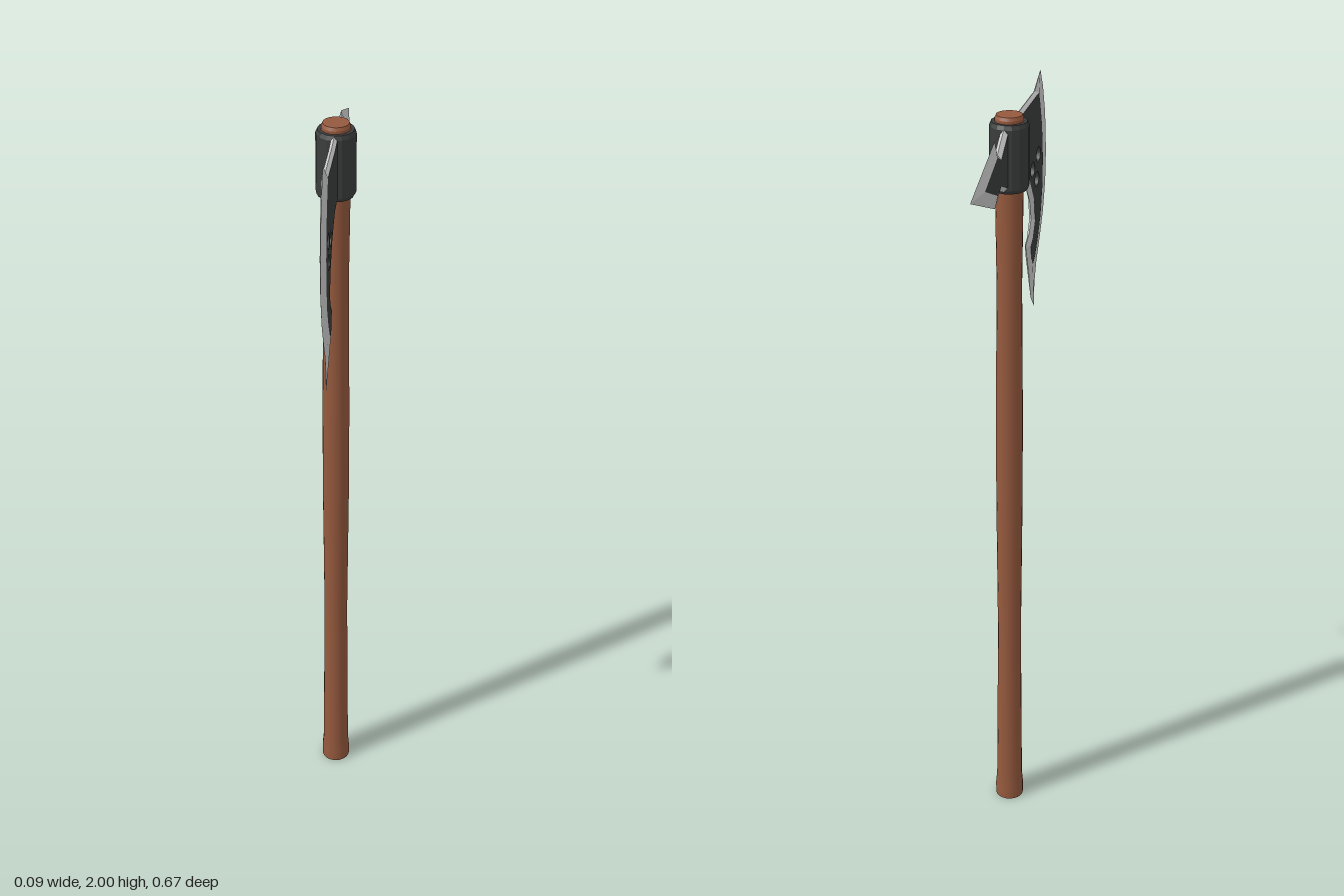
import * as THREE from 'three';

const wood = new THREE.MeshStandardMaterial({ color: 0x95593d });
wood.name = 'wood';
const iron = new THREE.MeshStandardMaterial({ color: 0x3b3c3c, side: THREE.DoubleSide });
iron.name = 'dark iron';
const steel = new THREE.MeshStandardMaterial({ color: 0xcfcfcf, side: THREE.DoubleSide });
steel.name = 'bright steel';

const AXIS_Z = -0.0125; // handle axis

function add(parent, name, geometry, material) {
  const mesh = new THREE.Mesh(geometry, material);
  mesh.name = name;
  parent.add(mesh);
  return mesh;
}

// Triangles mirrored on both sides of x = 0, each wound to face outward.
// Points are [x, y, z] with x >= 0.
function mirroredGeometry(triangles) {
  const pos = [];
  for (const side of [1, -1]) {
    for (const [a, b, c] of triangles) {
      const nx = (b[1] - a[1]) * (c[2] - a[2]) - (b[2] - a[2]) * (c[1] - a[1]);
      const order = nx * side > 0 ? [a, b, c] : [a, c, b];
      for (const p of order) pos.push(p[0] * side, p[1], p[2]);
    }
  }
  const g = new THREE.BufferGeometry();
  g.setAttribute('position', new THREE.Float32BufferAttribute(pos, 3));
  g.computeVertexNormals();
  return g;
}

// Forged head part: rows are [outer z, outer y, inner z, inner y].
// The inner outline is a flat iron plate, ground down to a sharp outer outline.
function forgedPart(name, rows, half, holes = []) {
  const group = new THREE.Group();
  group.name = name;
  const contour = rows.map((r) => new THREE.Vector2(r[2], r[3]));
  const holePaths = holes.map(([z, y, r]) =>
    new THREE.Path().absarc(z, y, r, 0, Math.PI * 2, true).getPoints(16).slice(0, -1));
  const flat = [contour, ...holePaths].flat();
  const plate = THREE.ShapeUtils.triangulateShape(contour, holePaths)
    .map((f) => f.map((i) => [half, flat[i].y, flat[i].x]));
  add(group, name + 'Plate', mirroredGeometry(plate), iron);

  const bevel = [];
  for (let i = 0; i < rows.length - 1; i++) {
    const [a, b] = [rows[i], rows[i + 1]];
    const oa = [0, a[1], a[0]], ob = [0, b[1], b[0]];
    const ia = [half, a[3], a[2]], ib = [half, b[3], b[2]];
    bevel.push([oa, ob, ib], [oa, ib, ia]);
  }
  add(group, name + 'Edge', mirroredGeometry(bevel), steel);

  // walls of the pierced holes
  for (const [z, y, r] of holes) {
    const wall = new THREE.CylinderGeometry(r, r, half * 2, 16, 1, true);
    wall.rotateZ(Math.PI / 2);
    add(group, 'holeWall', wall, iron).position.set(0, y, z);
  }
  return group;
}

function lathe(points, sides) {
  return new THREE.LatheGeometry(points.map(([r, y]) => new THREE.Vector2(r, y)), sides);
}

export function createModel() {
  const model = new THREE.Group();
  model.name = 'battleAxe';

  // Wooden shaft with a slightly swelling grip and a flared foot
  const shaft = [[0.038, 0], [0.038, 0.035], [0.035, 0.07], [0.033, 0.3], [0.031, 0.55],
    [0.034, 0.95], [0.034, 1.2], [0.031, 1.55], [0.034, 1.8], [0.0345, 1.965]];
  add(model, 'handle', lathe(shaft, 20), wood).position.z = AXIS_Z;
  const foot = new THREE.CircleGeometry(0.038, 20).rotateX(Math.PI / 2);
  add(model, 'handleFoot', foot, wood).position.z = AXIS_Z;
  const top = new THREE.CylinderGeometry(0.031, 0.0345, 0.008, 20);
  add(model, 'handleTop', top, wood).position.set(0, 1.969, AXIS_Z);

  // Iron collar with chamfered rims
  const socket = lathe([[0.034, 1.794], [0.043, 1.794], [0.0475, 1.803],
    [0.0475, 1.948], [0.043, 1.958], [0.034, 1.958]], 16).toNonIndexed();
  socket.computeVertexNormals();
  add(model, 'collar', socket, iron).position.z = AXIS_Z;

  // Bearded blade: top edge, cutting edge, lower point, hooked inner curve
  const blade = [
    [0, 1.957, 0, 1.95], [0.084, 1.954, 0.084, 1.946], [0.221, 1.962, 0.222, 1.954],
    [0.274, 2.0, 0.235, 1.953], [0.301, 1.952, 0.25, 1.915], [0.325, 1.878, 0.266, 1.862],
    [0.337, 1.777, 0.277, 1.777], [0.332, 1.698, 0.274, 1.703], [0.311, 1.624, 0.258, 1.634],
    [0.28, 1.565, 0.232, 1.581], [0.248, 1.512, 0.206, 1.544], [0.229, 1.459, 0.19, 1.531],
    [0.227, 1.396, 0.184, 1.528], [0.192, 1.433, 0.179, 1.533], [0.172, 1.507, 0.171, 1.549],
    [0.139, 1.592, 0.161, 1.585], [0.174, 1.613, 0.181, 1.599], [0.192, 1.645, 0.203, 1.64],
    [0.179, 1.692, 0.192, 1.697], [0.137, 1.75, 0.148, 1.761], [0.084, 1.788, 0.09, 1.799],
    [0, 1.798, 0, 1.806],
  ];
  const holes = [[0.233, 1.8, 0.019], [0.178, 1.778, 0.019], [0.219, 1.741, 0.019]];
  model.add(forgedPart('blade', blade, 0.0075, holes));

  // Barbed rear spike
  const spike = [
    [-0.013, 1.957, -0.013, 1.948], [-0.06, 1.95, -0.06, 1.938], [-0.115, 1.908, -0.115, 1.896],
    [-0.137, 1.947, -0.147, 1.912], [-0.335, 1.867, -0.25, 1.867], [-0.137, 1.786, -0.147, 1.822],
    [-0.115, 1.822, -0.115, 1.835], [-0.06, 1.8, -0.06, 1.811], [-0.013, 1.798, -0.013, 1.806],
  ];
  model.add(forgedPart('spike', spike, 0.0095));

  return model;
}
